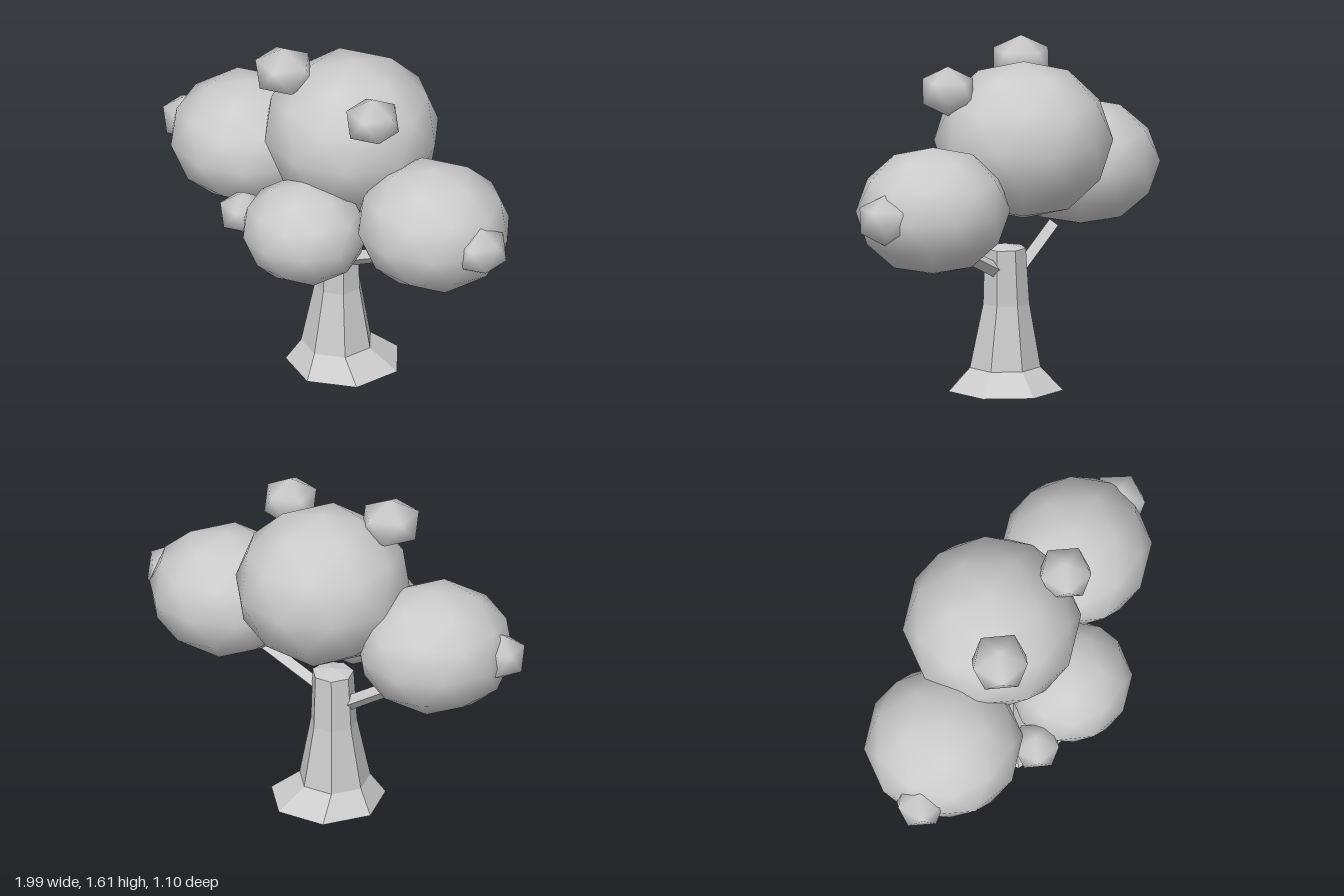
import * as THREE from 'three';

// Unit icosphere standing on a pole, smooth-shaded
function icosphere(detail) {
  const pos = [0, 1, 0], faces = [];
  const h = Math.sqrt(0.2), r = 2 * h;
  for (const upper of [1, -1]) {
    for (let i = 0; i < 5; i++) {
      const a = (i + (upper > 0 ? 0 : 0.5)) * Math.PI * 0.4;
      pos.push(r * Math.cos(a), upper * h, r * Math.sin(a));
    }
  }
  pos.push(0, -1, 0);
  for (let i = 0; i < 5; i++) {
    const j = (i + 1) % 5, u = 1 + i, un = 1 + j, l = 6 + i, ln = 6 + j;
    faces.push(0, un, u, u, un, l, un, ln, l, 11, l, ln);
  }
  const geo = new THREE.PolyhedronGeometry(pos, faces, 1, detail);
  geo.setAttribute('normal', geo.attributes.position.clone());
  return geo;
}

// Flat facets without a separate material
function faceted(geo) {
  const flat = geo.toNonIndexed();
  flat.computeVertexNormals();
  return flat;
}

// Seven-sided trunk, flared at the foot and open underneath
function trunkGeometry() {
  const rings = [ // y, radius, centre x, centre z
    [0, 0.272, 0.01, -0.05],
    [0.1, 0.168, -0.015, -0.03],
    [0.4, 0.11, -0.015, -0.037],
    [0.66, 0.098, -0.01, -0.035],
    [0.68, 0, -0.01, -0.035],
  ];
  const sides = 7, pos = [], index = [];
  for (const [y, r, cx, cz] of rings) {
    for (let i = 0; i < sides; i++) {
      const a = (i / sides) * Math.PI * 2;
      pos.push(cx + r * Math.sin(a), y, cz + r * Math.cos(a));
    }
  }
  for (let k = 0; k < rings.length - 1; k++) {
    for (let i = 0; i < sides; i++) {
      const a = k * sides + i, b = k * sides + (i + 1) % sides;
      index.push(a, b, b + sides);
      if (k < rings.length - 2) index.push(a, b + sides, a + sides);
    }
  }
  const geo = new THREE.BufferGeometry();
  geo.setAttribute('position', new THREE.Float32BufferAttribute(pos, 3));
  geo.setIndex(index);
  return faceted(geo);
}

export function createModel() {
  const tree = new THREE.Group();
  tree.name = 'tree';
  const grey = new THREE.MeshStandardMaterial({ color: 0xcccccc, side: THREE.DoubleSide });
  grey.name = 'light grey';

  const add = (name, geo) => {
    const mesh = new THREE.Mesh(geo, grey);
    mesh.name = name;
    tree.add(mesh);
    return mesh;
  };

  add('trunk', trunkGeometry());

  // Square branches reaching into the side crowns
  const branch = (name, from, to) => {
    const a = new THREE.Vector3(...from), b = new THREE.Vector3(...to);
    const dir = b.clone().sub(a);
    const mesh = add(name, faceted(new THREE.CylinderGeometry(0.035, 0.035, dir.length(), 4)));
    mesh.position.copy(a).add(b).multiplyScalar(0.5);
    mesh.quaternion.setFromUnitVectors(new THREE.Vector3(0, 1, 0), dir.normalize());
  };
  branch('rightBranch', [-0.05, 0.49, -0.035], [-0.38, 0.705, -0.04]);
  branch('leftBranch', [0.03, 0.55, -0.035], [0.45, 0.745, -0.035]);

  // Leaf clumps: name, centre, radii
  const clumps = (geo, list) => {
    for (const [name, centre, radii] of list) {
      const mesh = add(name, geo);
      mesh.position.set(...centre);
      mesh.scale.set(...radii);
    }
  };
  clumps(icosphere(1), [
    ['topCrown', [-0.017, 1.18, -0.135], [0.415, 0.37, 0.415]],
    ['rightCrown', [-0.575, 0.975, -0.063], [0.37, 0.297, 0.37]],
    ['leftCrown', [0.56, 0.93, -0.03], [0.37, 0.3, 0.352]],
    ['frontCrown', [0.025, 0.835, 0.262], [0.3, 0.245, 0.285]],
  ]);
  clumps(icosphere(0), [
    ['topRightTuft', [-0.265, 1.49, 0.055], [0.15, 0.12, 0.148]],
    ['topLeftTuft', [0.285, 1.435, 0.08], [0.135, 0.117, 0.138]],
    ['rightTuft', [-0.89, 0.985, 0], [0.123, 0.115, 0.125]],
    ['leftTuft', [0.878, 0.933, 0.015], [0.127, 0.12, 0.142]],
    ['frontTuft', [-0.32, 0.815, 0.285], [0.12, 0.107, 0.12]],
  ]);
  return tree;
}
